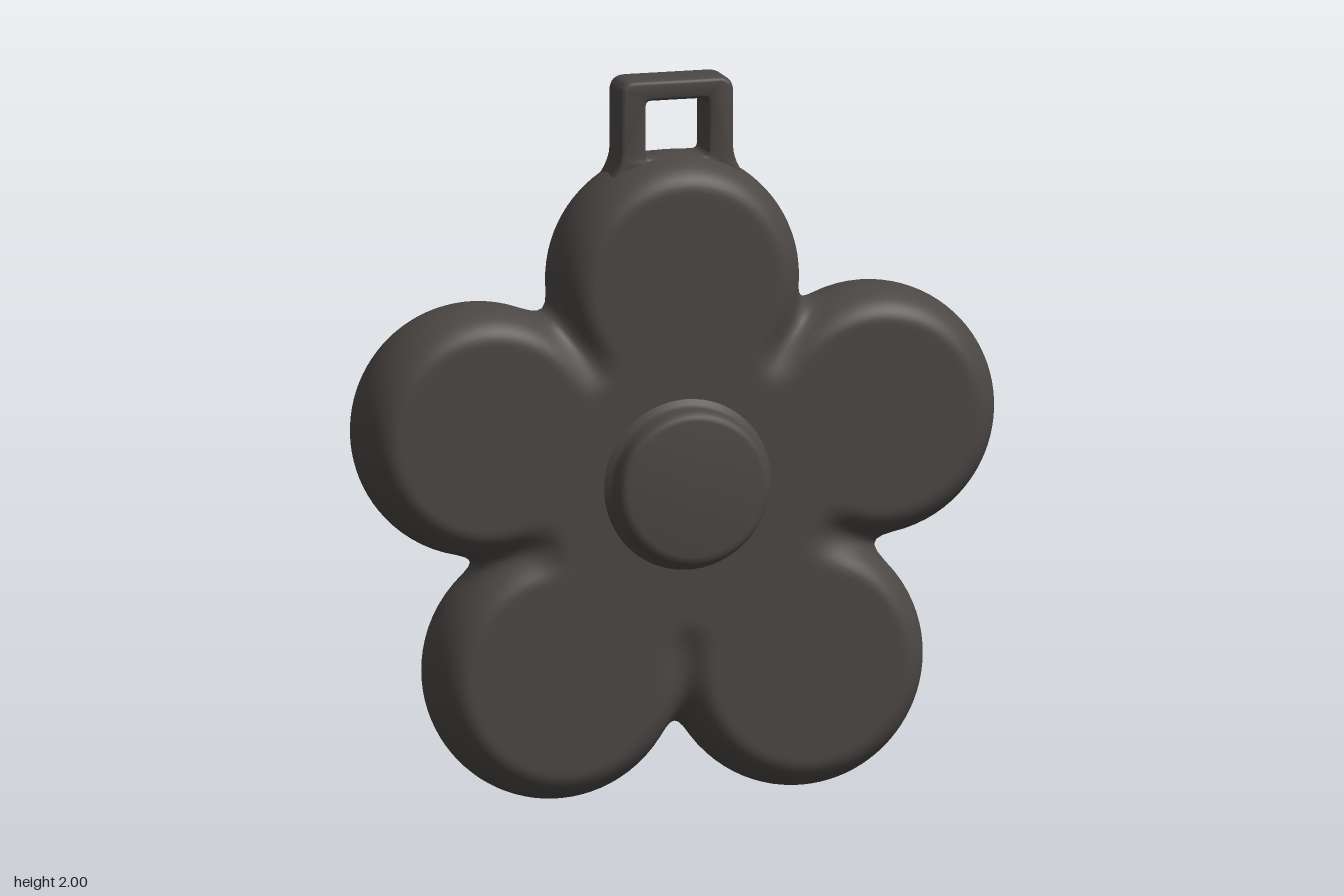
import * as THREE from 'three';
import { toCreasedNormals } from 'three/addons/utils/BufferGeometryUtils.js';

const CENTER_Y = 0.865, MID_Z = -0.03;

// Petals as circles: x, y, radius
const PETALS = [
  [0, 1.438, 0.352],
  [0.558, 1.043, 0.352], [-0.558, 1.043, 0.352],
  [0.346, 0.362, 0.36], [-0.346, 0.362, 0.36],
];

// Soft union of two distances, which leaves a fillet in each valley
function blend(a, b, k) {
  const h = Math.max(k - Math.abs(a - b), 0) / k;
  return Math.min(a, b) - h * h * k / 4;
}

// Signed distance to the flower outline
function flowerDistance(x, y, coreRadius) {
  let d = Math.hypot(x, y - CENTER_Y) - coreRadius;
  for (const [px, py, r] of PETALS) d = blend(d, Math.hypot(x - px, y - py) - r, 0.09);
  return d;
}

// Puffy flower: front and back skins on a polar grid, sharing the outline ring
function flowerGeometry() {
  const SEG = 240, RINGS = 44;
  const pos = [], index = [];
  const outline = [];
  for (let j = 0; j < SEG; j++) {
    const a = (j / SEG) * Math.PI * 2 + Math.PI / 2;
    const c = Math.cos(a), s = Math.sin(a);
    let r = 1.1;
    for (let n = 0; n < 400; n++) {
      const d = flowerDistance(c * r, CENTER_Y + s * r, 0.47);
      if (d < 1e-5) break;
      r -= d;
    }
    outline.push([c * r, s * r]);
  }
  for (const [x, y] of outline) pos.push(x, CENTER_Y + y, MID_Z);

  const skin = (height, edge, core) => {
    const sign = Math.sign(height);
    const base = pos.length / 3;
    for (let i = 1; i < RINGS; i++) {
      const u = i / RINGS;
      const t = 1 - Math.pow(u, 1.9);
      for (const [ox, oy] of outline) {
        const x = ox * t, y = CENTER_Y + oy * t;
        const depth = Math.max(-flowerDistance(x, y, core), 0);
        const q = 1 - Math.min(depth / edge, 1);
        pos.push(x, y, MID_Z + height * Math.sqrt(1 - q * q));
      }
    }
    const middle = pos.length / 3;
    pos.push(0, CENTER_Y, MID_Z + height);
    const ring = (i, j) => (i === 0 ? 0 : base + (i - 1) * SEG) + (j % SEG);
    const tri = (a, b, c) => (sign > 0 ? index.push(a, b, c) : index.push(a, c, b));
    for (let j = 0; j < SEG; j++) {
      for (let i = 0; i < RINGS - 1; i++) {
        tri(ring(i, j), ring(i, j + 1), ring(i + 1, j + 1));
        tri(ring(i, j), ring(i + 1, j + 1), ring(i + 1, j));
      }
      tri(ring(RINGS - 1, j), ring(RINGS - 1, j + 1), middle);
    }
  };
  skin(0.15, 0.09, 0.46);
  skin(-0.17, 0.1, 0.48);

  const g = new THREE.BufferGeometry();
  g.setAttribute('position', new THREE.Float32BufferAttribute(pos, 3));
  g.setIndex(index);
  g.computeVertexNormals();
  return g;
}

// Raised disc with a small fillet at its foot and a rounded rim
function buttonGeometry() {
  const profile = [
    [0.25, 0.1], [0.238, 0.121], [0.224, 0.127], [0.217, 0.14], [0.216, 0.178],
    [0.212, 0.19], [0.203, 0.198], [0.19, 0.2], [0, 0.2],
  ].map(([r, z]) => new THREE.Vector2(r, z));
  const g = new THREE.LatheGeometry(profile, 64);
  g.rotateX(Math.PI / 2);
  return toCreasedNormals(g, 0.9);
}

// Square hanging loop with flared feet
function loopGeometry() {
  const shape = new THREE.Shape();
  shape.moveTo(-0.23, 1.68);
  shape.quadraticCurveTo(-0.165, 1.745, -0.163, 1.8);
  shape.lineTo(-0.163, 1.955);
  shape.quadraticCurveTo(-0.163, 2, -0.118, 2);
  shape.lineTo(0.118, 2);
  shape.quadraticCurveTo(0.163, 2, 0.163, 1.955);
  shape.lineTo(0.163, 1.8);
  shape.quadraticCurveTo(0.165, 1.745, 0.23, 1.68);
  shape.closePath();

  const hole = new THREE.Path();
  const w = 0.087, lo = 1.783, hi = 1.94, r = 0.015;
  hole.moveTo(-w + r, lo);
  hole.lineTo(w - r, lo);
  hole.quadraticCurveTo(w, lo, w, lo + r);
  hole.lineTo(w, hi - r);
  hole.quadraticCurveTo(w, hi, w - r, hi);
  hole.lineTo(-w + r, hi);
  hole.quadraticCurveTo(-w, hi, -w, hi - r);
  hole.lineTo(-w, lo + r);
  hole.quadraticCurveTo(-w, lo, -w + r, lo);
  shape.holes.push(hole);

  const bevel = 0.012, depth = 0.13;
  const g = new THREE.ExtrudeGeometry(shape, {
    depth: depth - 2 * bevel * 2, bevelEnabled: true, bevelThickness: bevel * 2,
    bevelSize: bevel, bevelOffset: -bevel, bevelSegments: 4, curveSegments: 8,
  });
  g.translate(0, 0, -0.105 + bevel * 2);
  return toCreasedNormals(g, 0.8);
}

export function createModel() {
  const charcoal = new THREE.MeshStandardMaterial({ color: 0x4b4745 });
  charcoal.name = 'charcoal';

  const model = new THREE.Group();
  model.name = 'flowerPendant';
  const add = (name, geometry) => {
    const mesh = new THREE.Mesh(geometry, charcoal);
    mesh.name = name;
    model.add(mesh);
    return mesh;
  };

  add('flowerBody', flowerGeometry());
  add('centerButton', buttonGeometry()).position.y = 0.885;
  add('hangingLoop', loopGeometry());
  return model;
}
